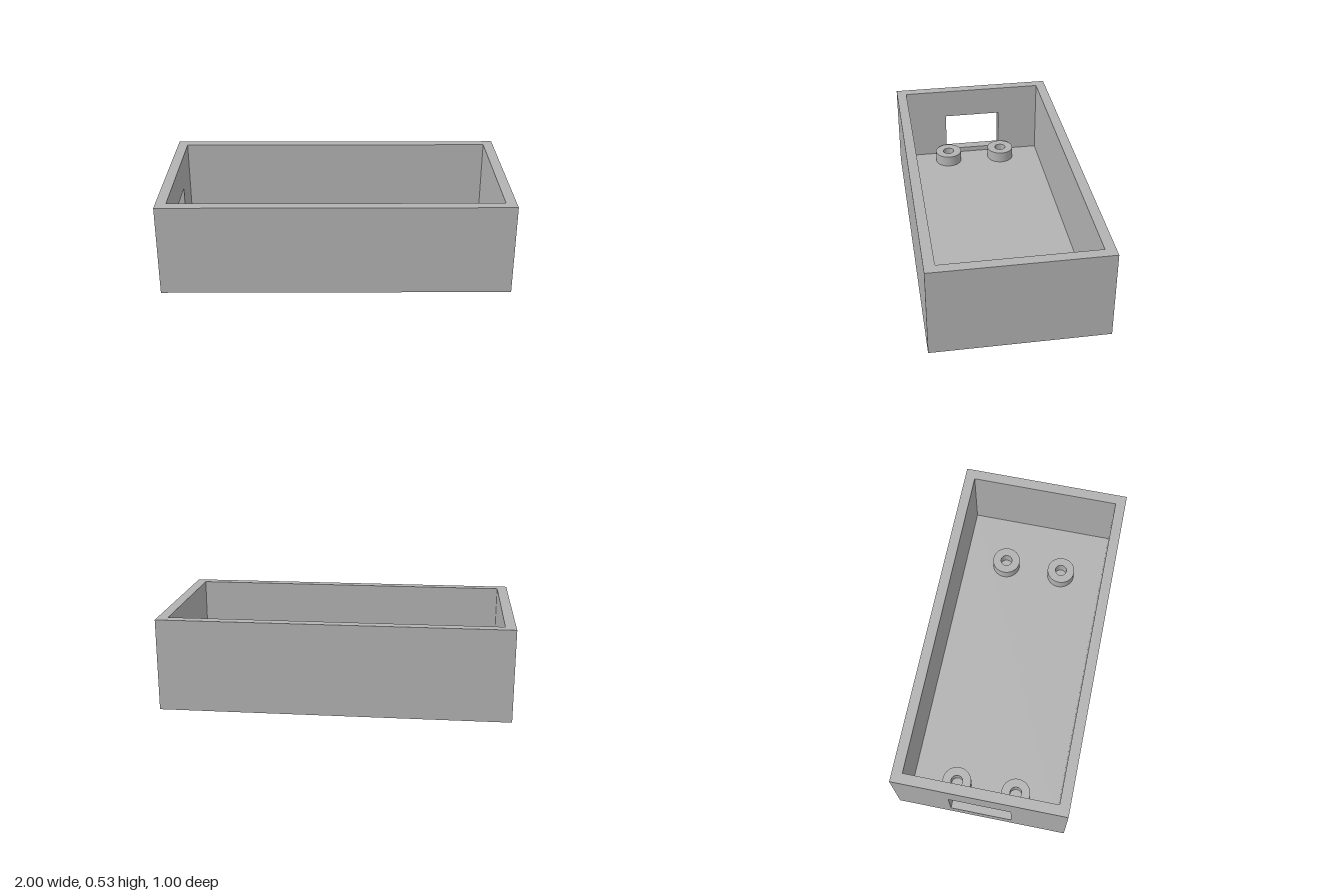
import * as THREE from 'three';
import { mergeGeometries, toCreasedNormals } from 'three/addons/utils/BufferGeometryUtils.js';

const H = 0.533, FLOOR = 0.06;          // overall height, floor thickness
const OX = 1, OZ = 0.5;                 // outer half sizes
const IX = 0.94, IZ = 0.44;             // inner half sizes
const WIN = { z: 0.18, y0: 0.092, y1: 0.347 };

// flat rectangle [x0, y0, x1, y1], optionally with a rectangular hole
function panel(r, hole) {
  const corners = ([x0, y0, x1, y1]) => [[x0, y0], [x1, y0], [x1, y1], [x0, y1]].map(p => new THREE.Vector2(...p));
  const shape = new THREE.Shape(corners(r));
  if (hole) shape.holes.push(new THREE.Path(corners(hole)));
  return new THREE.ShapeGeometry(shape);
}

export function createModel() {
  const model = new THREE.Group();
  model.name = 'enclosure';
  const grey = new THREE.MeshStandardMaterial({ color: 0xb2b2b2 });
  grey.name = 'grey plastic';

  const add = (name, geometries) => {
    const mesh = new THREE.Mesh(mergeGeometries(geometries), grey);
    mesh.name = name;
    model.add(mesh);
    return mesh;
  };
  const q = Math.PI / 2;
  const win = [-WIN.z, WIN.y0, WIN.z, WIN.y1];
  const outerPlan = [-OX, -OZ, OX, OZ], innerPlan = [-IX, -IZ, IX, IZ];

  // outer faces, the window is in the -x end
  const longOut = [-OX, 0, OX, H], endOut = [-OZ, 0, OZ, H];
  add('outerWalls', [
    panel(longOut).translate(0, 0, OZ),
    panel(longOut).rotateY(Math.PI).translate(0, 0, -OZ),
    panel(endOut).rotateY(q).translate(OX, 0, 0),
    panel(endOut, win).rotateY(-q).translate(-OX, 0, 0),
  ]);

  // inner faces look towards the cavity
  const longIn = [-IX, FLOOR, IX, H], endIn = [-IZ, FLOOR, IZ, H];
  add('innerWalls', [
    panel(longIn).rotateY(Math.PI).translate(0, 0, IZ),
    panel(longIn).translate(0, 0, -IZ),
    panel(endIn).rotateY(-q).translate(IX, 0, 0),
    panel(endIn, win).rotateY(q).translate(-IX, 0, 0),
  ]);

  add('rim', [panel(outerPlan, innerPlan).rotateX(-q).translate(0, H, 0)]);
  add('floor', [panel(innerPlan).rotateX(-q).translate(0, FLOOR, 0)]);
  add('underside', [panel(outerPlan).rotateX(q)]);

  // thickness of the wall around the window
  const sill = [-OX, -WIN.z, -IX, WIN.z], jamb = [-OX, WIN.y0, -IX, WIN.y1];
  const jambBack = [IX, WIN.y0, OX, WIN.y1];
  add('windowReveal', [
    panel(sill).rotateX(-q).translate(0, WIN.y0, 0),
    panel(sill).rotateX(q).translate(0, WIN.y1, 0),
    panel(jamb).translate(0, 0, -WIN.z),
    panel(jambBack).rotateY(Math.PI).translate(0, 0, WIN.z),
  ]);

  // four hollow screw posts
  const profile = [[0.085, FLOOR], [0.085, 0.13], [0.035, 0.13], [0.035, FLOOR]].map(p => new THREE.Vector2(...p));
  const post = toCreasedNormals(new THREE.LatheGeometry(profile, 48), 0.6);
  for (const x of [-0.845, 0.622]) {
    for (const z of [-0.178, 0.178]) add('screwPost', [post]).position.set(x, 0, z);
  }
  return model;
}
